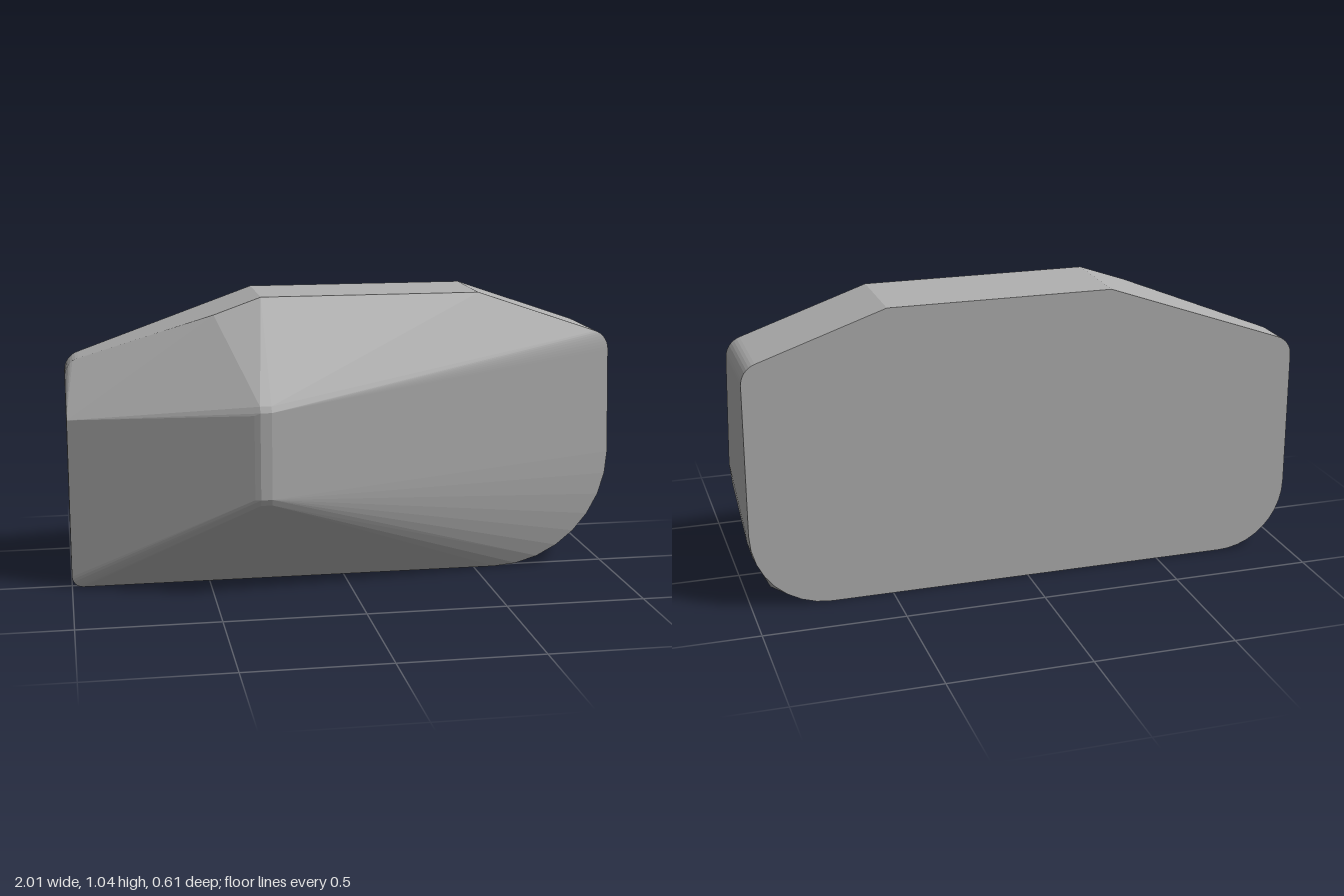
import * as THREE from 'three';
import { ConvexGeometry } from 'three/addons/geometries/ConvexGeometry.js';

const BACK = -0.305, MID = 0.02, FRONT = 0.305;

// Points of a circular arc in a plane of constant z
function arc(cx, cy, r, from, to, z, steps) {
  return Array.from({ length: steps + 1 }, (_, i) => {
    const a = THREE.MathUtils.degToRad(from + (to - from) * i / steps);
    return new THREE.Vector3(cx + r * Math.cos(a), cy + r * Math.sin(a), z);
  });
}
const at = (z, list) => list.map(([x, y]) => new THREE.Vector3(x, y, z));

export function createModel() {
  const group = new THREE.Group();
  group.name = 'facetedBlock';
  const grey = new THREE.MeshStandardMaterial({ color: 0xb0b0b0 });
  grey.name = 'grey';

  const points = [];

  // Top edge and rounded upper right corner, shared by back and middle outlines
  for (const z of [BACK, MID]) {
    points.push(...at(z, [[-0.3, 1.045], [0.5, 1.045]]));
    points.push(...arc(0.925, 0.82, 0.075, 0, 71, z, 8));
  }

  // Back outline: large lower corners
  points.push(...arc(0.72, 0.28, 0.28, -90, 0, BACK, 8));
  points.push(...arc(-0.75, 0.25, 0.25, 180, 270, BACK, 10));

  // Upper left corner, bevelled off towards the front
  for (const z of [BACK, -0.162]) points.push(...arc(-0.925, 0.743, 0.075, 109, 180, z, 8));
  points.push(...at(MID, [[-0.47, 0.985], [-1, 0.62]]));

  // Middle outline: wide lower right curve, tight lower left corner
  points.push(...arc(0.58, 0.43, 0.43, -90, 0, MID, 8));
  points.push(...arc(-0.96, 0.04, 0.04, 180, 270, MID, 6));

  // Bulge of the lower right corner
  points.push(...at(-0.22, [[1, 0.27], [0.995, 0.22], [0.98, 0.165], [0.93, 0.07], [0.83, 0.018], [0.75, 0]]));
  points.push(...at(-0.275, [[0.93, 0.07]]));

  // Narrow front ridge with softened ends
  points.push(...at(FRONT, [[-0.34, 0.37], [-0.3, 0.37], [-0.34, 0.68], [-0.3, 0.68]]));
  points.push(...at(0.296, [[-0.34, 0.348], [-0.3, 0.348], [-0.34, 0.702], [-0.3, 0.702]]));
  points.push(...at(0.298, [[-0.36, 0.37], [-0.36, 0.67]]));

  const body = new THREE.Mesh(new ConvexGeometry(points), grey);
  body.name = 'body';
  group.add(body);
  return group;
}
